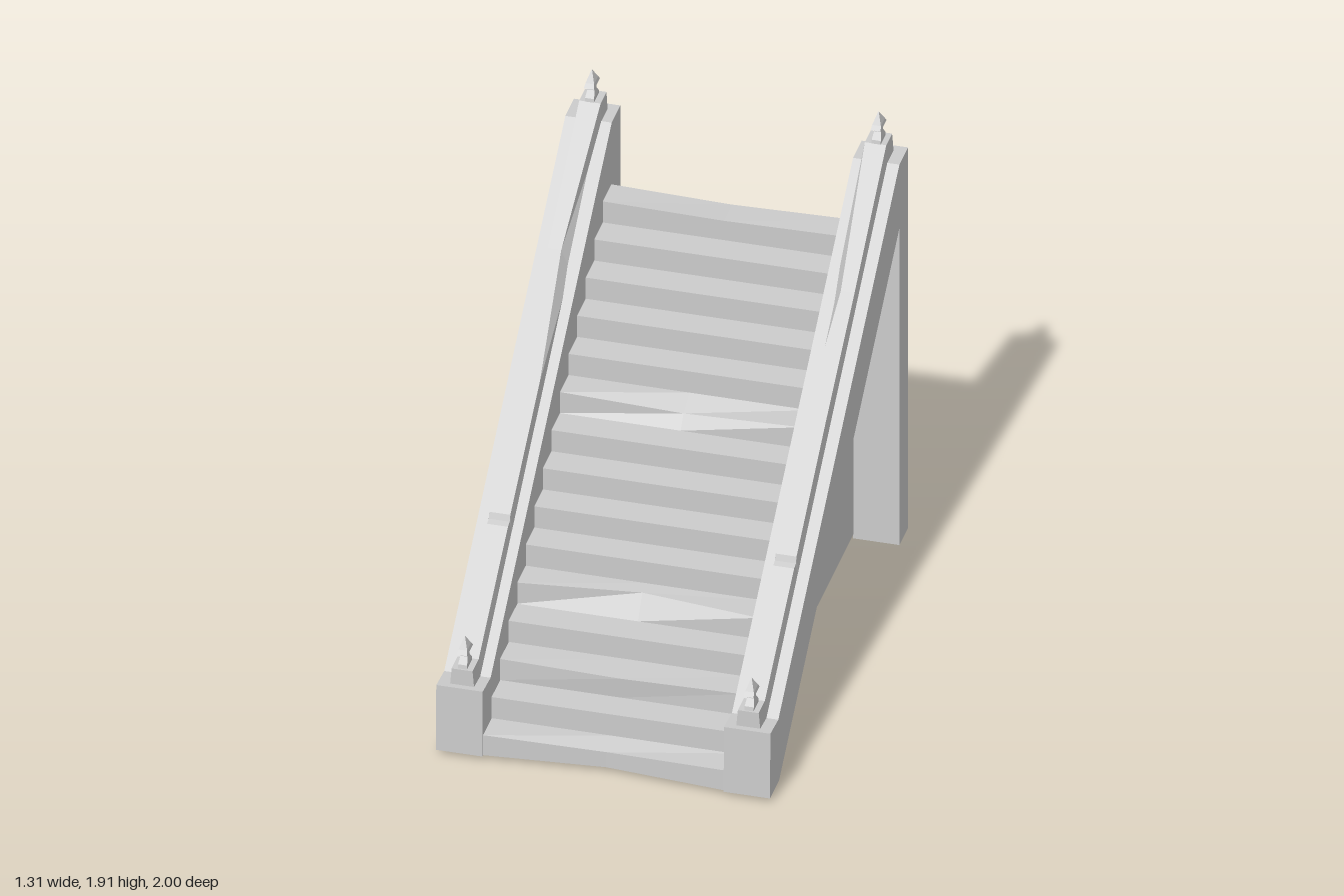
import * as THREE from 'three';

const stone = new THREE.MeshStandardMaterial({ color: 0xcccccc, flatShading: true });
const sheet = new THREE.MeshStandardMaterial({ color: 0xcccccc, flatShading: true, side: THREE.DoubleSide });

// Skins a list of cross-sections; closed sections also get end caps.
function loft(rings, closed) {
  const pos = [];
  const n = rings[0].length;
  const tri = (a, b, c) => pos.push(...a, ...b, ...c);
  for (let i = 0; i < rings.length - 1; i++) {
    for (let j = 0; j < (closed ? n : n - 1); j++) {
      const k = (j + 1) % n;
      const a = rings[i][j], b = rings[i][k], c = rings[i + 1][k], d = rings[i + 1][j];
      tri(a, b, c);
      tri(a, c, d);
    }
  }
  if (closed) {
    const first = rings[0], last = rings[rings.length - 1];
    for (let j = 1; j < n - 1; j++) {
      tri(first[0], first[j + 1], first[j]);
      tri(last[0], last[j], last[j + 1]);
    }
  }
  const g = new THREE.BufferGeometry();
  g.setAttribute('position', new THREE.Float32BufferAttribute(pos, 3));
  g.computeVertexNormals();
  return g;
}

function part(name, geometry, material = stone) {
  const m = new THREE.Mesh(geometry, material);
  m.name = name;
  return m;
}

// Side outline given as [z, y] points.
function sideShape(points) {
  return new THREE.Shape(points.map(([z, y]) => new THREE.Vector2(-z, y)));
}

// Flight of steps: an open folded sheet with worn middles on some edges.
function makeSteps() {
  const half = 0.475, run = 0.124, rise = 0.0947, count = 15;
  // step index: [how far the middle is worn back, how far it is worn down]
  const worn = { 0: [0.04, 0.022], 2: [-0.008, 0.005], 4: [0.062, 0.004], 9: [0.04, 0.042], 14: [0, 0.008] };
  const row = (z, y, back = 0, down = 0) => [[-half, y, z], [0, y - down, z - back], [half, y, z]];
  const rows = [row(0.99, 0.02, 0.04)];
  for (let k = 0; k < count; k++) {
    const y = 0.11 + k * rise, z = 0.99 - k * run;
    rows.push(row(z, y, ...(worn[k] || [])));
    rows.push(row(k === count - 1 ? -0.87 : z - run, y, 0, k === count - 1 ? 0.012 : 0));
  }
  return part('steps', loft(rows, false), sheet);
}

// Spear-shaped finial, wider along z than along x.
function makeFinial() {
  const profile = [[0, 0.018, 0.037], [0.016, 0.018, 0.034], [0.042, 0.014, 0.013],
    [0.052, 0.014, 0.013], [0.064, 0.02, 0.043], [0.08, 0.017, 0.03], [0.125, 0.001, 0.001]];
  const rings = profile.map(([y, x, z]) => [[x, y, z], [x, y, -z], [-x, y, -z], [-x, y, z]]);
  return part('finial', loft(rings, true));
}

// Sloping coping with a flat pedestal at each end and a chipped joint low down.
function makeCoping(s) {
  // z, base y, top y, x of the inner top edge
  const stations = [
    [0.968, 0.28, 0.375, 0.52], [0.88, 0.28, 0.375, 0.52], [0.455, 0.62, 0.708, 0.52],
    [0.43, 0.64, 0.715, 0.52], [0.42, 0.65, 0.74, 0.52], [0, 0.98, 1.08, 0.518],
    [-0.42, 1.32, 1.405, 0.548], [-0.88, 1.68, 1.785, 0.518], [-0.965, 1.68, 1.785, 0.518],
  ];
  const rings = stations.map(([z, y0, y1, xi]) => {
    const ring = [[0.512, y0, z], [xi, y1, z], [0.602, y1, z], [0.61, y0, z]].map(([x, y, zz]) => [s * x, y, zz]);
    return s > 0 ? ring : ring.reverse();
  });
  return part('coping', loft(rings, true));
}

function makeSide(s) {
  const side = new THREE.Group();
  side.name = s > 0 ? 'leftSide' : 'rightSide';
  const inner = 0.473, outer = 0.655;

  // Sloping beam joined to the rear post
  const frame = sideShape([[1, 0.02], [0.995, 0.308], [0.88, 0.3], [-0.875, 1.71], [-1, 1.71],
    [-1, 0], [-0.875, 0], [-0.875, 1.425], [0.87, 0.02]]);
  const frameGeo = new THREE.ExtrudeGeometry(frame, { depth: outer - inner, bevelEnabled: false });
  frameGeo.rotateY(Math.PI / 2);
  frameGeo.translate(s > 0 ? inner : -outer, 0, 0);
  side.add(part('wallFrame', frameGeo));

  // Thin triangular infill, flush with the inner face
  const panelGeo = new THREE.ShapeGeometry(sideShape([[0.87, 0.02], [-0.875, 0.02], [-0.875, 1.425]]));
  panelGeo.rotateY(Math.PI / 2);
  panelGeo.translate(s * (inner + 0.002), 0, 0);
  side.add(part('wallPanel', panelGeo, sheet));

  side.add(makeCoping(s));
  for (const [y, z] of [[0.375, 0.924], [1.783, -0.916]]) {
    const finial = makeFinial();
    finial.position.set(s * 0.562, y, z);
    side.add(finial);
  }
  return side;
}

export function createModel() {
  const model = new THREE.Group();
  model.name = 'staircase';
  model.add(makeSteps(), makeSide(1), makeSide(-1));
  return model;
}
